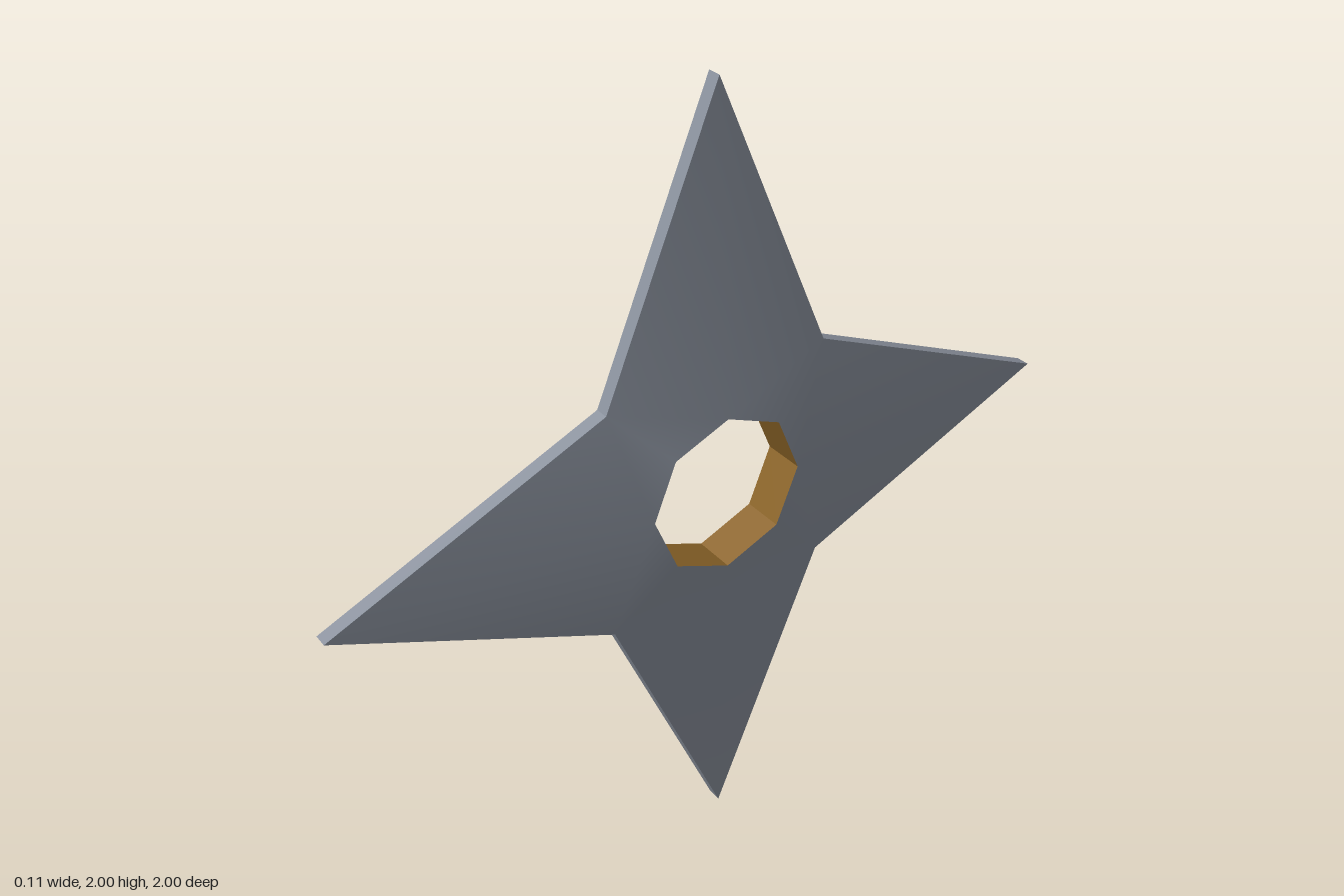
import * as THREE from 'three';
import { toCreasedNormals } from 'three/addons/utils/BufferGeometryUtils.js';

const SEGMENTS = 8;
const HOLE = 0.205, TIP = 1, NOTCH = 0.3 * Math.SQRT2;
const EDGE_X = 0.018, HUB_X = 0.055;

// Outer radius alternates between blade tips and notches
const outer = (i) => (i % 2 === 0 ? TIP : NOTCH);
const hole = () => HOLE;

// Cross-section corners, walked outward over one face and back over the other
const hubLeft = [hole, HUB_X], edgeLeft = [outer, EDGE_X];
const edgeRight = [outer, -EDGE_X], hubRight = [hole, -HUB_X];

function corner([radius, x], i) {
  const a = (i / SEGMENTS) * Math.PI * 2;
  return [x, 1 + radius(i) * Math.cos(a), radius(i) * Math.sin(a)];
}

// Sweep a run of cross-section corners around the x axis
function sweep(section) {
  const positions = [];
  for (let s = 0; s < section.length - 1; s++) {
    for (let i = 0; i < SEGMENTS; i++) {
      const a = corner(section[s], i), b = corner(section[s + 1], i);
      const c = corner(section[s + 1], i + 1), d = corner(section[s], i + 1);
      // Mirror the diagonal on alternate segments so each blade is symmetric
      if (i % 2 === 0) positions.push(...a, ...b, ...c, ...a, ...c, ...d);
      else positions.push(...a, ...b, ...d, ...b, ...c, ...d);
    }
  }
  const geometry = new THREE.BufferGeometry();
  geometry.setAttribute('position', new THREE.Float32BufferAttribute(positions, 3));
  geometry.computeVertexNormals();
  return toCreasedNormals(geometry, Math.PI / 9);
}

function part(name, section, material) {
  const mesh = new THREE.Mesh(sweep(section), material);
  mesh.name = name;
  return mesh;
}

export function createModel() {
  const steel = new THREE.MeshStandardMaterial({ color: 0x8a919d });
  steel.name = 'steel';
  const bronze = new THREE.MeshStandardMaterial({ color: 0x8b6428 });
  bronze.name = 'bronze';

  const group = new THREE.Group();
  group.name = 'throwingStar';
  // Four tapered blades with a thin rim
  group.add(part('blades', [hubLeft, edgeLeft, edgeRight, hubRight], steel));
  // Octagonal lining of the centre hole
  group.add(part('holeLining', [hubRight, hubLeft], bronze));
  return group;
}
